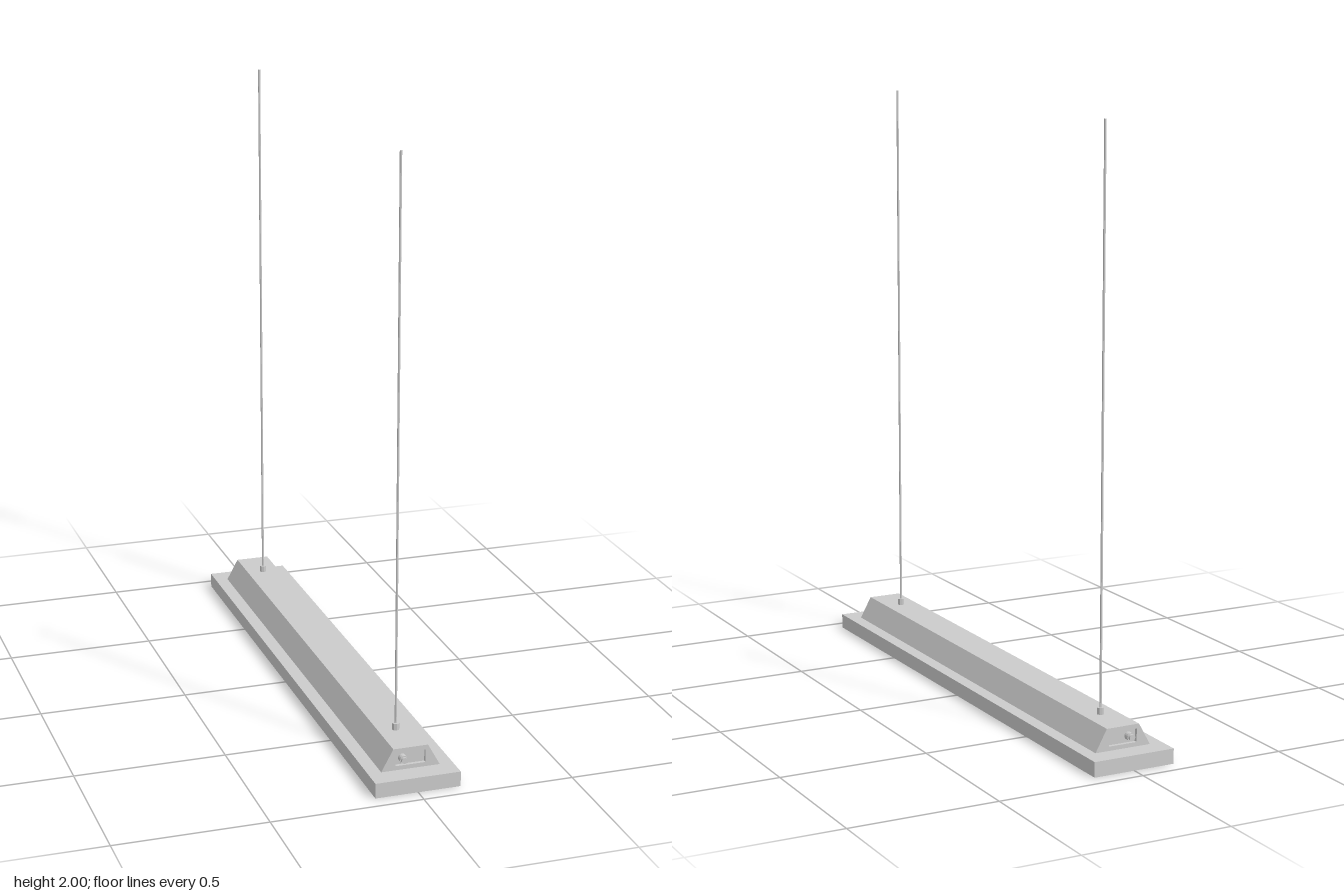
import * as THREE from 'three';

const grey = new THREE.MeshStandardMaterial({ color: 0xcccccc, flatShading: true });

function add(parent, name, geometry, x = 0, y = 0, z = 0) {
  const mesh = new THREE.Mesh(geometry, grey);
  mesh.name = name;
  mesh.position.set(x, y, z);
  parent.add(mesh);
  return mesh;
}

function polygon(points) {
  return new THREE.Shape(points.map(([x, y]) => new THREE.Vector2(x, y)));
}

const rect = (x0, y0, x1, y1) => [[x0, y0], [x1, y0], [x1, y1], [x0, y1]];
const extrude = (shape, depth) =>
  new THREE.ExtrudeGeometry(shape, { depth, bevelEnabled: false, curveSegments: 8 });

export function createModel() {
  const model = new THREE.Group();
  model.name = 'hangingLightFixture';

  // Shallow tray, open underneath
  const W = 0.142, L = 0.948, H = 0.05, wall = 0.005;
  const rim = polygon(rect(-W, -L, W, L));
  rim.holes.push(polygon(rect(-W + wall, -L + wall, W - wall, L - wall)));
  const walls = extrude(rim, H - wall);
  walls.rotateX(-Math.PI / 2);
  add(model, 'trayWalls', walls);
  add(model, 'trayTop', new THREE.BoxGeometry(2 * W, wall, 2 * L), 0, H - wall / 2, 0);

  // Trapezoid ballast housing, with a recessed window at each end
  const profile = () => polygon([[-0.098, H], [0.098, H], [0.058, 0.123], [-0.058, 0.123]]);
  const end = 0.876, recess = 0.012;
  add(model, 'housing', extrude(profile(), 2 * (end - recess)), 0, 0, -end + recess);

  for (const s of [1, -1]) {
    const side = new THREE.Group();
    side.name = s > 0 ? 'frontEnd' : 'backEnd';

    const frame = profile();
    frame.holes.push(polygon(rect(-0.05, 0.064, 0.05, 0.108)));
    add(side, 'endFrame', extrude(frame, recess), 0, 0, s > 0 ? end - recess : -end);

    // Power connector
    const collar = new THREE.CylinderGeometry(0.013, 0.013, 0.022, 16);
    collar.rotateX(Math.PI / 2);
    add(side, 'connectorCollar', collar, -0.025, 0.086, s * 0.873);
    const plug = new THREE.CylinderGeometry(0.01, 0.01, 0.01, 16);
    plug.rotateX(Math.PI / 2);
    add(side, 'connectorPlug', plug, -0.025, 0.086, s * 0.888);

    // Suspension cable and its anchor
    add(side, 'cableAnchor', new THREE.CylinderGeometry(0.012, 0.012, 0.022, 8), 0, 0.134, s * 0.735);
    add(side, 'cable', new THREE.CylinderGeometry(0.004, 0.004, 1.877, 8), 0, 1.0615, s * 0.735);

    // Lamp holders with rounded lower ends
    const holder = new THREE.Shape();
    holder.moveTo(0.017, 0.045);
    holder.lineTo(-0.017, 0.045);
    holder.lineTo(-0.017, 0.025);
    holder.absarc(0, 0.025, 0.017, Math.PI, 2 * Math.PI, false);
    holder.closePath();
    for (let i = 0; i < 4; i++) {
      const x = -0.096 + i * 0.064;
      add(side, 'lampHolder', extrude(holder, 0.022), x, 0, s * 0.9 - 0.011);
    }
    model.add(side);
  }
  return model;
}
